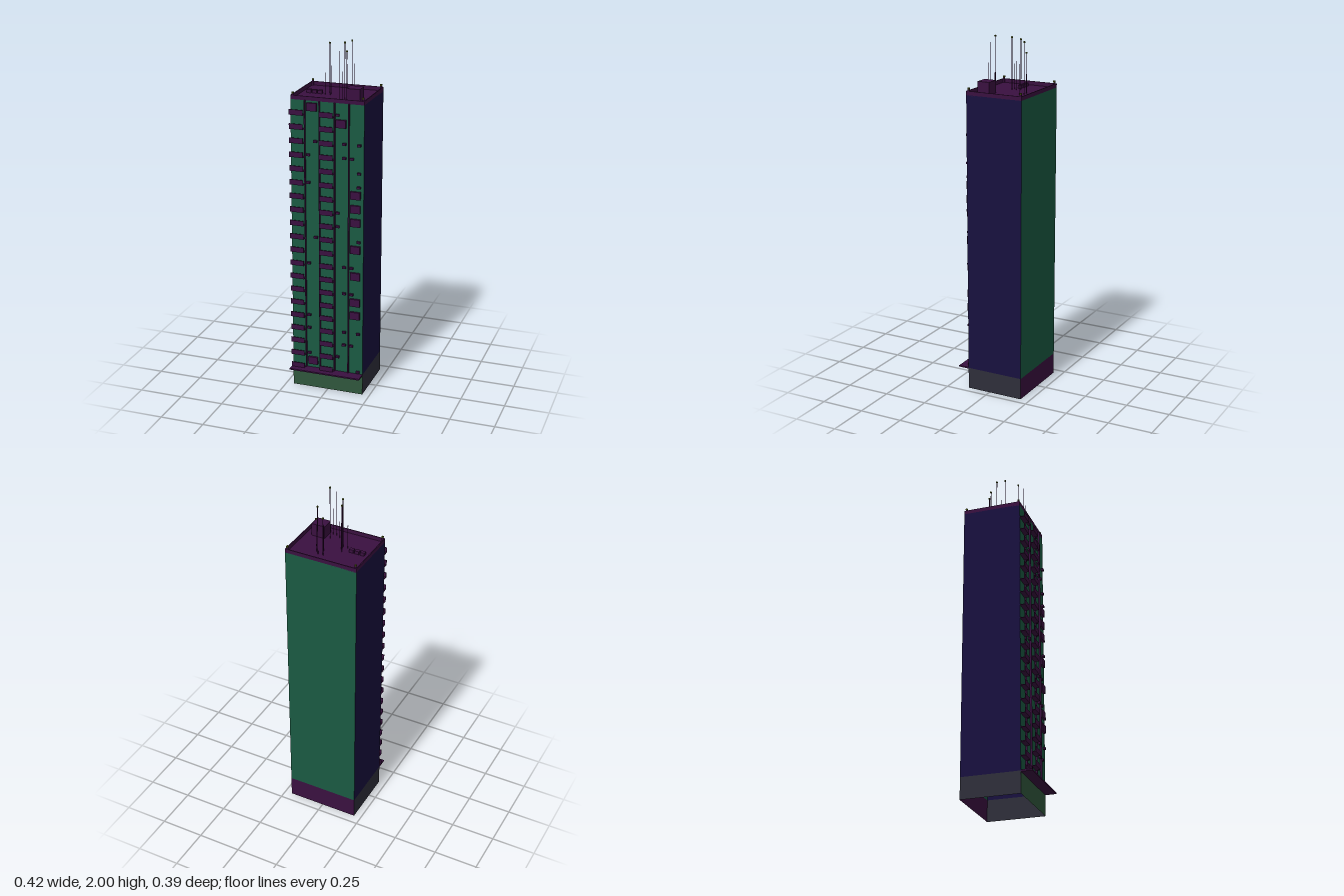
import * as THREE from 'three';

const mat = (color, side = THREE.FrontSide) => new THREE.MeshStandardMaterial({ color, side });
const purple = mat(0x3a1040), olive = mat(0x4a5512);
const green = mat(0x1a5a42, THREE.DoubleSide), blue = mat(0x18103f, THREE.DoubleSide);
const baseGreen = mat(0x30573c, THREE.DoubleSide), baseGrey = mat(0x2e2e3a, THREE.DoubleSide);
const basePurple = mat(0x3a1040, THREE.DoubleSide);

const X = 0.208, BACK = -0.198, FRONT = 0.134;
const BASE = 0.122, TOP = 1.692;
const FLOORS = 20, STEP = 0.0784, FIRST = 0.138;

export function createModel() {
  const root = new THREE.Group();
  const group = (name) => {
    const g = new THREE.Group();
    g.name = name;
    root.add(g);
    return g;
  };
  // Box given by its minimum and maximum corners
  const box = (parent, name, x0, x1, y0, y1, z0, z1, m = purple) => {
    const mesh = new THREE.Mesh(new THREE.BoxGeometry(x1 - x0, y1 - y0, z1 - z0), m);
    mesh.position.set((x0 + x1) / 2, (y0 + y1) / 2, (z0 + z1) / 2);
    mesh.name = name;
    parent.add(mesh);
  };

  // Hollow storey shell: four walls, open at top and bottom
  const shell = (name, y0, y1, front, sides, back) => {
    const g = group(name);
    const wall = (label, width, x, z, turn, m) => {
      const mesh = new THREE.Mesh(new THREE.PlaneGeometry(width, y1 - y0), m);
      mesh.position.set(x, (y0 + y1) / 2, z);
      mesh.rotation.y = turn;
      mesh.name = label;
      g.add(mesh);
    };
    const depth = FRONT - BACK, mid = (FRONT + BACK) / 2;
    wall('frontWall', 2 * X, 0, FRONT, 0, front);
    wall('backWall', 2 * X, 0, BACK, Math.PI, back);
    wall('leftWall', depth, X, mid, Math.PI / 2, sides);
    wall('rightWall', depth, -X, mid, -Math.PI / 2, sides);
  };
  shell('groundFloor', 0, BASE, baseGreen, baseGrey, basePurple);
  shell('tower', BASE, TOP, green, blue, green);

  // Canopy over the shop front
  box(root, 'canopy', -X, X, 0.117, 0.125, FRONT, 0.196);

  // Vertical strips between window bays
  const strips = group('facadeStrips');
  for (const x of [-0.126, -0.043, 0.043, 0.124])
    box(strips, 'strip', x - 0.003, x + 0.003, 0.125, TOP, FRONT, 0.144);

  // Two columns of balconies: floor slab and front panel
  const balconies = group('balconies');
  for (let i = 0; i < FLOORS; i++) {
    const y = FIRST + STEP * i;
    for (const [x0, x1] of [[-X, -0.13], [-0.039, 0.039]]) {
      box(balconies, 'balconyFloor', x0, x1, y - 0.015, y - 0.011, FRONT, 0.162);
      box(balconies, 'balconyPanel', x0, x1, y - 0.015, y + 0.015, 0.158, 0.162);
    }
  }

  // Enclosed bays, listed as x with the floors they sit on
  const bays = group('enclosedBays');
  for (const [x, floors] of [[-0.085, [0, 19]], [0.081, [18]], [0.163, [4, 5, 7, 9, 11, 12, 13]]])
    for (const i of floors) {
      const y = FIRST + 0.032 + STEP * i;
      box(bays, 'bay', x - 0.028, x + 0.028, y - 0.022, y + 0.022, FRONT, 0.147);
    }

  // Small air conditioners, listed as x with floors
  const coolers = group('airConditioners');
  for (const [x, floors] of [
    [-0.107, [1, 3, 4, 8, 14, 16]], [-0.066, [10, 17]],
    [0.061, [1, 11, 12, 19]], [0.099, [2, 3, 6, 8, 16, 17]],
    [0.142, [2, 6, 8, 16]], [0.182, [0, 3, 10, 14, 15, 17]],
  ])
    for (const i of floors) {
      const y = FIRST + STEP * i;
      box(coolers, 'airConditioner', x - 0.01, x + 0.01, y - 0.006, y + 0.006, FRONT, 0.147);
    }

  // Roof deck with parapet and corner posts
  const roof = group('roof');
  box(roof, 'roofDeck', -X, X, TOP - 0.004, TOP, BACK, FRONT);
  box(roof, 'frontParapet', -X, X, TOP, 1.714, FRONT - 0.005, FRONT);
  box(roof, 'backParapet', -X, X, TOP, 1.714, BACK, BACK + 0.005);
  for (const s of [-1, 1]) {
    const x = s * (X - 0.0025);
    box(roof, 'sideParapet', x - 0.0025, x + 0.0025, TOP, 1.714, BACK + 0.005, FRONT - 0.005);
    for (const z of [-0.188, 0.124]) {
      const c = s * 0.198;
      box(roof, 'cornerPost', c - 0.004, c + 0.004, TOP, 1.722, z - 0.004, z + 0.004);
      box(roof, 'cornerLamp', c - 0.005, c + 0.005, 1.722, 1.73, z - 0.005, z + 0.005, olive);
    }
  }

  // Lift house and roof vents
  box(roof, 'liftHouse', 0.09, 0.167, TOP, 1.763, 0.018, 0.088);
  for (const x of [-0.161, -0.13, -0.098])
    box(roof, 'roofVent', x - 0.0125, x + 0.0125, TOP, 1.71, -0.043, -0.022);

  // Antennas: x, z, top height, and whether a lamp sits on the tip
  const masts = group('antennas');
  for (const [x, z, top, lamp] of [
    [0.02, -0.13, 1.915, 1], [0.05, -0.131, 1.976, 1], [-0.052, -0.058, 1.972, 1],
    [-0.035, -0.013, 1.982, 1], [0.065, 0.035, 2, 1],
    [0.035, -0.093, 1.85, 0], [0.068, -0.112, 1.85, 0], [-0.037, -0.037, 1.85, 0],
    [-0.064, -0.013, 1.83, 0], [0.022, 0.062, 1.79, 0], [0.047, 0.075, 1.957, 0],
    [0.068, 0.077, 1.85, 0],
  ]) {
    const r = lamp ? 0.0015 : 0.001;
    box(masts, 'mast', x - r, x + r, TOP, top - lamp * 0.008, z - r, z + r);
    if (lamp) box(masts, 'mastLamp', x - 0.004, x + 0.004, top - 0.008, top, z - 0.004, z + 0.004, olive);
  }
  return root;
}
